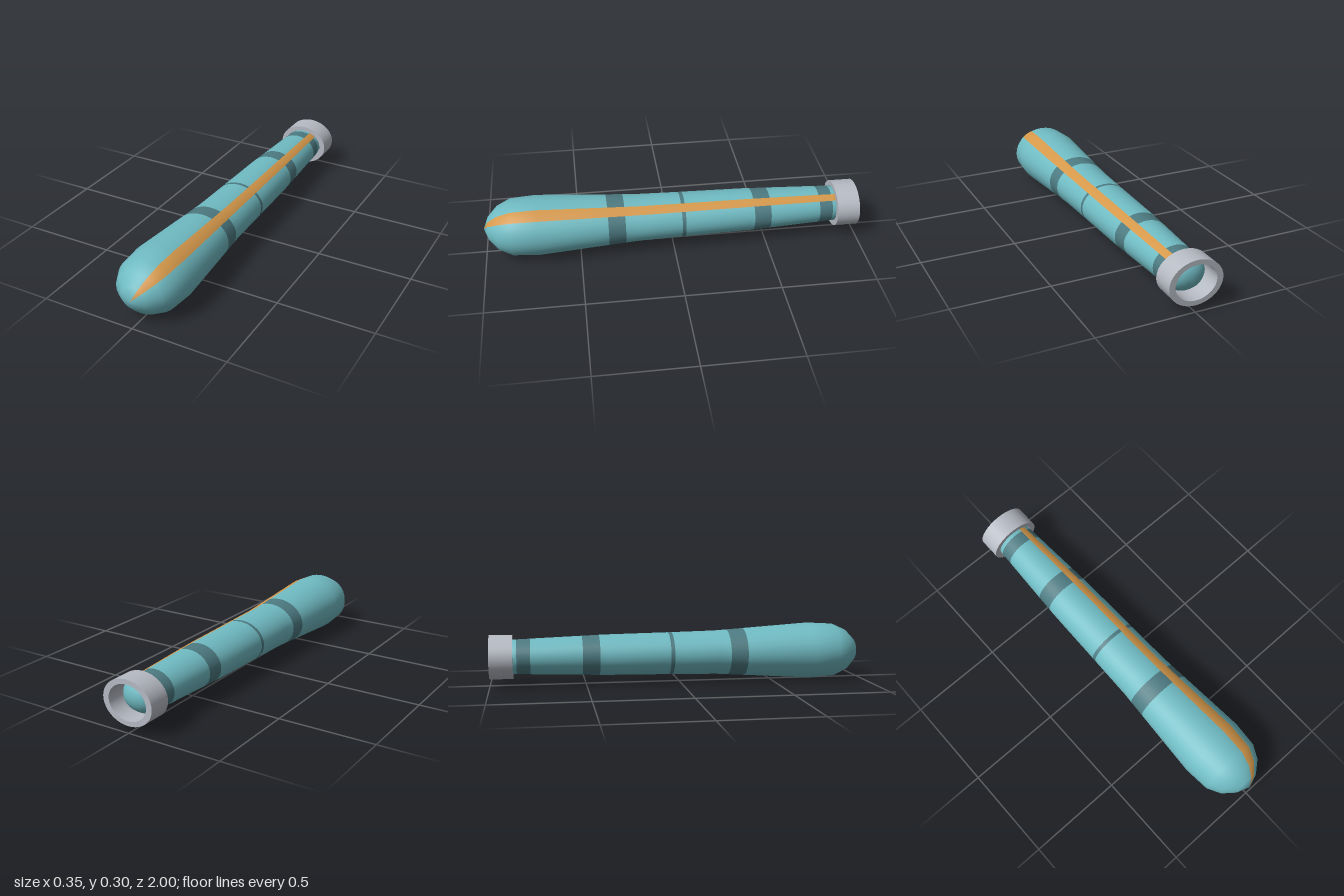
import * as THREE from 'three';

const SEG = 32;
const CENTER_Y = 0.153;

const mat = (name, color) => {
  const m = new THREE.MeshStandardMaterial({ color });
  m.name = name;
  return m;
};

// Body profile: [z, half width, half height], tip to tail
const PROFILE = [
  [1, 0, 0], [0.975, 0.068, 0.06], [0.925, 0.129, 0.111], [0.855, 0.166, 0.143],
  [0.72, 0.177, 0.151], [0.2, 0.143, 0.117], [0, 0.138, 0.113], [-0.4, 0.129, 0.107],
  [-0.88, 0.105, 0.09], [-0.91, 0.097, 0.083], [-0.935, 0.075, 0.064],
  [-0.95, 0.042, 0.036], [-0.957, 0, 0],
];
// Painted bands around the body: [front z, back z]
const BANDS = [[0.35, 0.26], [-0.04, -0.06], [-0.43, -0.52], [-0.79, -0.86]];

function sizeAt(z) {
  for (let i = 1; i < PROFILE.length; i++) {
    const [a, b] = [PROFILE[i - 1], PROFILE[i]];
    if (z >= b[0]) {
      const t = (a[0] - z) / (a[0] - b[0]);
      return [a[1] + (b[1] - a[1]) * t, a[2] + (b[2] - a[2]) * t];
    }
  }
  return [0, 0];
}

// Elliptical loft whose faces are sorted into base, band and stripe groups
function bodyGeometry() {
  const zs = [...PROFILE.map((p) => p[0]), ...BANDS.flat()].sort((a, b) => b - a);
  const pos = [];
  const faces = [[], [], []];
  const last = zs.length - 1;
  const at = (i, j) => (i === 0 ? 0 : i === last ? (last - 1) * SEG + 1 : 1 + (i - 1) * SEG + (j % SEG));

  zs.forEach((z, i) => {
    const [rx, ry] = sizeAt(z);
    const count = i === 0 || i === last ? 1 : SEG;
    for (let j = 0; j < count; j++) {
      const a = (j / SEG) * Math.PI * 2;
      pos.push(rx * Math.cos(a), ry * Math.sin(a), z);
    }
  });

  for (let i = 0; i < last; i++) {
    const mid = (zs[i] + zs[i + 1]) / 2;
    const inBand = BANDS.some(([f, b]) => mid < f && mid > b);
    for (let j = 0; j < SEG; j++) {
      const onStripe = (j === 4 || j === 5) && mid > -0.88;
      const list = faces[onStripe ? 2 : inBand ? 1 : 0];
      const [a, b, c, d] = [at(i, j), at(i, j + 1), at(i + 1, j), at(i + 1, j + 1)];
      if (i < last - 1) list.push(a, c, d);
      else list.push(a, c, b);
      if (i > 0 && i < last - 1) list.push(a, d, b);
    }
  }

  const geo = new THREE.BufferGeometry();
  geo.setAttribute('position', new THREE.Float32BufferAttribute(pos, 3));
  geo.setIndex(faces.flat());
  let start = 0;
  faces.forEach((f, k) => {
    geo.addGroup(start, f.length, k);
    start += f.length;
  });
  geo.computeVertexNormals();
  return geo;
}

// Hollow oval ring around the tail
function collarGeometry() {
  const shape = new THREE.Shape();
  shape.absellipse(0, 0, 0.14, 0.115, 0, Math.PI * 2, false);
  const hole = new THREE.Path();
  hole.absellipse(0, 0, 0.108, 0.09, 0, Math.PI * 2, true);
  shape.holes.push(hole);
  const geo = new THREE.ExtrudeGeometry(shape, { depth: 0.12, bevelEnabled: false, curveSegments: 32 });
  geo.translate(0, 0, -1);
  // Smooth the side walls, keeping the flat end faces sharp
  const p = geo.attributes.position;
  const n = geo.attributes.normal;
  for (let i = 0; i < p.count; i++) {
    if (Math.abs(n.getZ(i)) > 0.5) continue;
    const outer = Math.hypot(p.getX(i) / 0.14, p.getY(i) / 0.115) > 0.9;
    const [rx, ry] = outer ? [0.14, 0.115] : [0.108, 0.09];
    const v = new THREE.Vector3(p.getX(i) / rx ** 2, p.getY(i) / ry ** 2, 0).normalize();
    if (!outer) v.negate();
    n.setXYZ(i, v.x, v.y, 0);
  }
  return geo;
}

export function createModel() {
  const group = new THREE.Group();
  group.name = 'taperedClub';
  const teal = mat('teal', 0x70bbc3);
  const darkTeal = mat('dark teal', 0x4d7b82);
  const orange = mat('orange', 0xd5984a);
  const grey = mat('grey', 0xb6bac3);

  const body = new THREE.Mesh(bodyGeometry(), [teal, darkTeal, orange]);
  body.name = 'body';
  const collar = new THREE.Mesh(collarGeometry(), grey);
  collar.name = 'tailCollar';
  for (const part of [body, collar]) {
    part.position.y = CENTER_Y;
    group.add(part);
  }
  return group;
}
